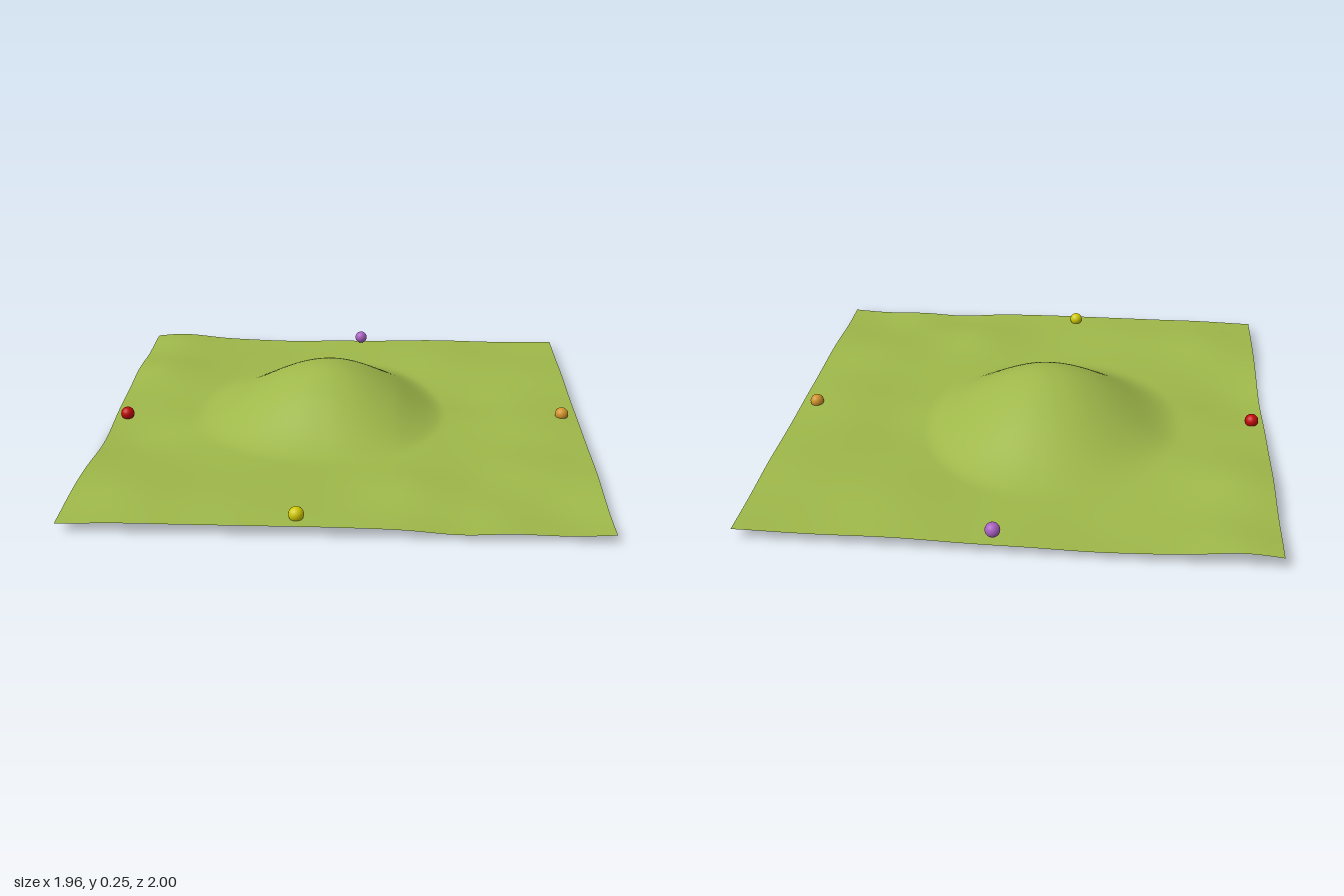
import * as THREE from 'three';

// Gentle swells and hollows around the hill: x, z, height, radius
const SWELLS = [
  [-0.86, -0.5, 0.032, 0.2], [-0.85, -0.95, 0.02, 0.16], [-0.88, 0.22, -0.036, 0.24],
  [-0.6, -0.1, -0.012, 0.16], [-0.75, 0.75, 0.018, 0.2], [-0.4, 0.8, 0.012, 0.2],
  [0.28, 0.7, 0.022, 0.18], [0.45, 0.97, -0.018, 0.16], [0.72, 0.5, 0.016, 0.2],
  [0.8, 0.85, -0.02, 0.2], [0.85, -0.55, 0.012, 0.2], [0.55, -0.2, -0.012, 0.16],
  [0.4, -0.75, 0.012, 0.22], [-0.3, -0.9, -0.012, 0.2], [0.8, 0.05, 0.01, 0.2],
];

// Height of the ground at a point
function groundHeight(x, z) {
  let y = 0.043;
  for (const [sx, sz, h, r] of SWELLS) {
    y += h * Math.exp(-((x - sx) ** 2 + (z - sz) ** 2) / (r * r));
  }
  y += 0.003 * Math.sin(7 * x + 2 * z) * Math.cos(6 * z - 3 * x);
  // Lopsided central hill: steeper to the front and left, drawn out to the back
  const dx = x + 0.08, dz = z + 0.05;
  const t2 = (dx / (dx > 0 ? 0.5 : 0.56)) ** 2 + (dz / (dz > 0 ? 0.54 : 0.65)) ** 2;
  const power = dx > 0 ? 2 - 0.4 * Math.min(1, dx / 0.3) : 2;
  return y + 0.216 * Math.max(0, 1 - t2) ** power;
}

export function createModel() {
  const model = new THREE.Group();

  // Rolling ground sheet
  const geometry = new THREE.PlaneGeometry(1.96, 2, 96, 96).rotateX(-Math.PI / 2);
  const p = geometry.attributes.position;
  for (let i = 0; i < p.count; i++) p.setY(i, groundHeight(p.getX(i), p.getZ(i)));
  geometry.computeVertexNormals();
  const ground = new THREE.Mesh(
    geometry,
    new THREE.MeshStandardMaterial({ color: 0x9fb84a, side: THREE.DoubleSide }),
  );
  ground.name = 'ground';
  model.add(ground);

  // One coloured marker ball near the middle of each edge
  const ball = new THREE.SphereGeometry(0.028, 24, 16);
  const markers = [
    ['rightMarker', 0xc00808, -0.93, 0.045, 0],
    ['leftMarker', 0xd0922a, 0.915, 0.06, -0.03],
    ['frontMarker', 0xd0c800, -0.135, 0.062, 0.935],
    ['backMarker', 0xa860c0, 0.04, 0.075, -0.955],
  ];
  for (const [name, color, x, y, z] of markers) {
    const marker = new THREE.Mesh(ball, new THREE.MeshStandardMaterial({ color }));
    marker.name = name;
    marker.position.set(x, y, z);
    model.add(marker);
  }
  return model;
}
